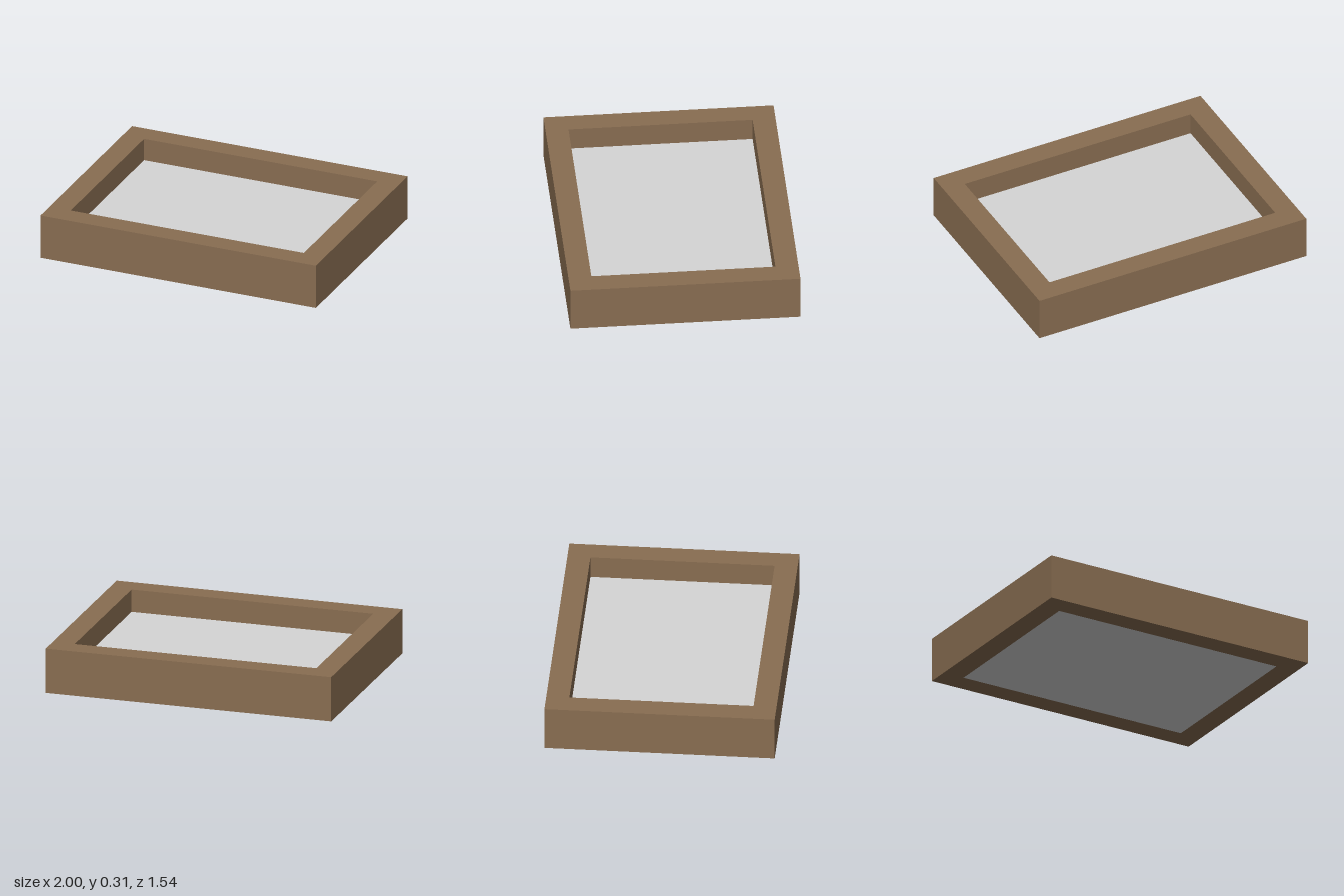
import * as THREE from 'three';

const W = 2, D = 1.54, H = 0.31; // outer size
const RIM = 0.154; // rim width
const FLOOR = 0.154; // floor thickness

function rectangle(PathType, w, d) {
  const p = new PathType();
  p.moveTo(-w / 2, -d / 2);
  p.lineTo(w / 2, -d / 2);
  p.lineTo(w / 2, d / 2);
  p.lineTo(-w / 2, d / 2);
  p.closePath();
  return p;
}

export function createModel() {
  const wood = new THREE.MeshStandardMaterial({ color: 0x886d51 });
  wood.name = 'brown wood';
  const grey = new THREE.MeshStandardMaterial({ color: 0xd5d5d5 });
  grey.name = 'light grey';

  const model = new THREE.Group();
  model.name = 'tray';
  const innerW = W - 2 * RIM, innerD = D - 2 * RIM;

  // Rectangular rim with an open centre
  const outline = rectangle(THREE.Shape, W, D);
  outline.holes.push(rectangle(THREE.Path, innerW, innerD));
  const rimGeometry = new THREE.ExtrudeGeometry(outline, { depth: H, bevelEnabled: false });
  rimGeometry.rotateX(-Math.PI / 2);
  const rim = new THREE.Mesh(rimGeometry, wood);
  rim.name = 'rim';
  model.add(rim);

  // Recessed floor, flush with the underside of the rim
  const floor = new THREE.Mesh(new THREE.BoxGeometry(innerW, FLOOR, innerD), grey);
  floor.name = 'floor';
  floor.position.y = FLOOR / 2;
  model.add(floor);

  return model;
}
